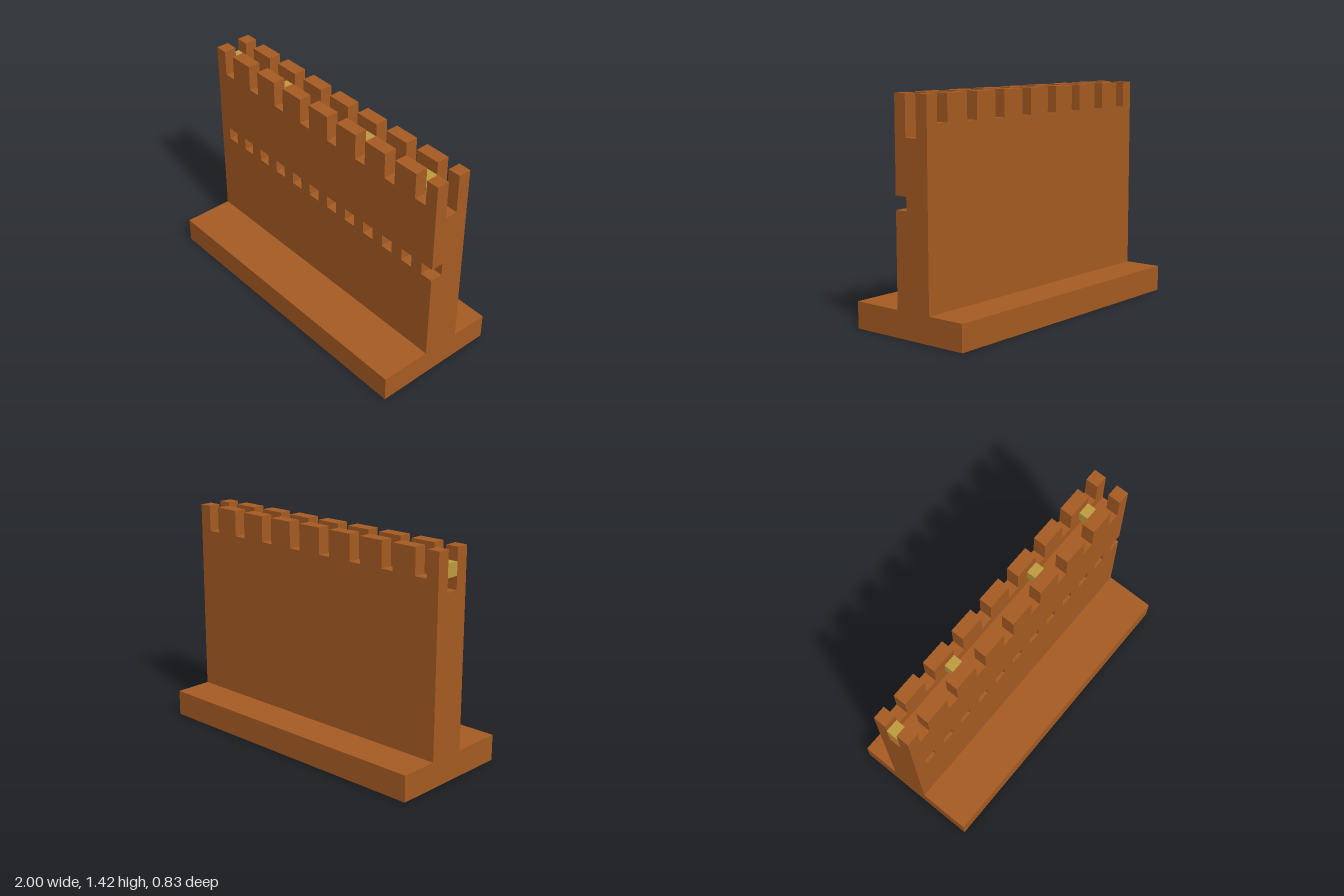
import * as THREE from 'three';

const U = 1 / 12; // one building block; everything below is in blocks

export function createModel() {
  const group = new THREE.Group();
  const brick = new THREE.MeshStandardMaterial({ color: 0xa65b22 });
  brick.name = 'brown brick';
  const gold = new THREE.MeshStandardMaterial({ color: 0xbf9b40 });
  gold.name = 'gold';

  const add = (name, geometry, material) => {
    const mesh = new THREE.Mesh(geometry.scale(U, U, U), material);
    mesh.name = name;
    group.add(mesh);
  };
  const block = (name, material, x0, x1, y0, y1, z0, z1) => add(name,
    new THREE.BoxGeometry(x1 - x0, y1 - y0, z1 - z0)
      .translate((x0 + x1) / 2, (y0 + y1) / 2, (z0 + z1) / 2), material);
  const outline = (points) => new THREE.Shape(points.map(([x, y]) => new THREE.Vector2(x, y)));

  // Footing, walkway and rear wall: one (z, y) section swept along x
  const section = outline([[5, 0], [5, 2], [0, 2], [0, 14], [-1, 14], [-1, 15],
    [-2, 15], [-2, 2], [-5, 2], [-5, 0]].reverse());
  add('footingAndRearWall', new THREE.ExtrudeGeometry(section, { depth: 24, bevelEnabled: false })
    .translate(0, 0, -12).rotateY(-Math.PI / 2), brick);

  // Front wall with a row of square loopholes, the last one open at the end
  const front = outline([[-12, 2], [12, 2], [12, 9], [11, 9], [11, 10], [12, 10], [12, 15], [-12, 15]]);
  for (let x = -11; x < 11; x += 2) {
    front.holes.push(outline([[x, 9], [x, 10], [x + 1, 10], [x + 1, 9]]));
  }
  add('frontWall', new THREE.ExtrudeGeometry(front, { depth: 1, bevelEnabled: false }), brick);

  // Battlements on both parapets, with half merlons at the ends
  for (const [name, z] of [['frontMerlon', 0], ['rearMerlon', -2]]) {
    for (let x = -13; x <= 11; x += 3) {
      block(name, brick, Math.max(x, -12), Math.min(x + 2, 12), 15, 17, z, z + 1);
    }
  }

  // Gold blocks hovering above the walkway
  for (const x of [-12, -6, 3, 9]) block('goldBlock', gold, x, x + 1, 15, 16, -1, 0);

  return group;
}
